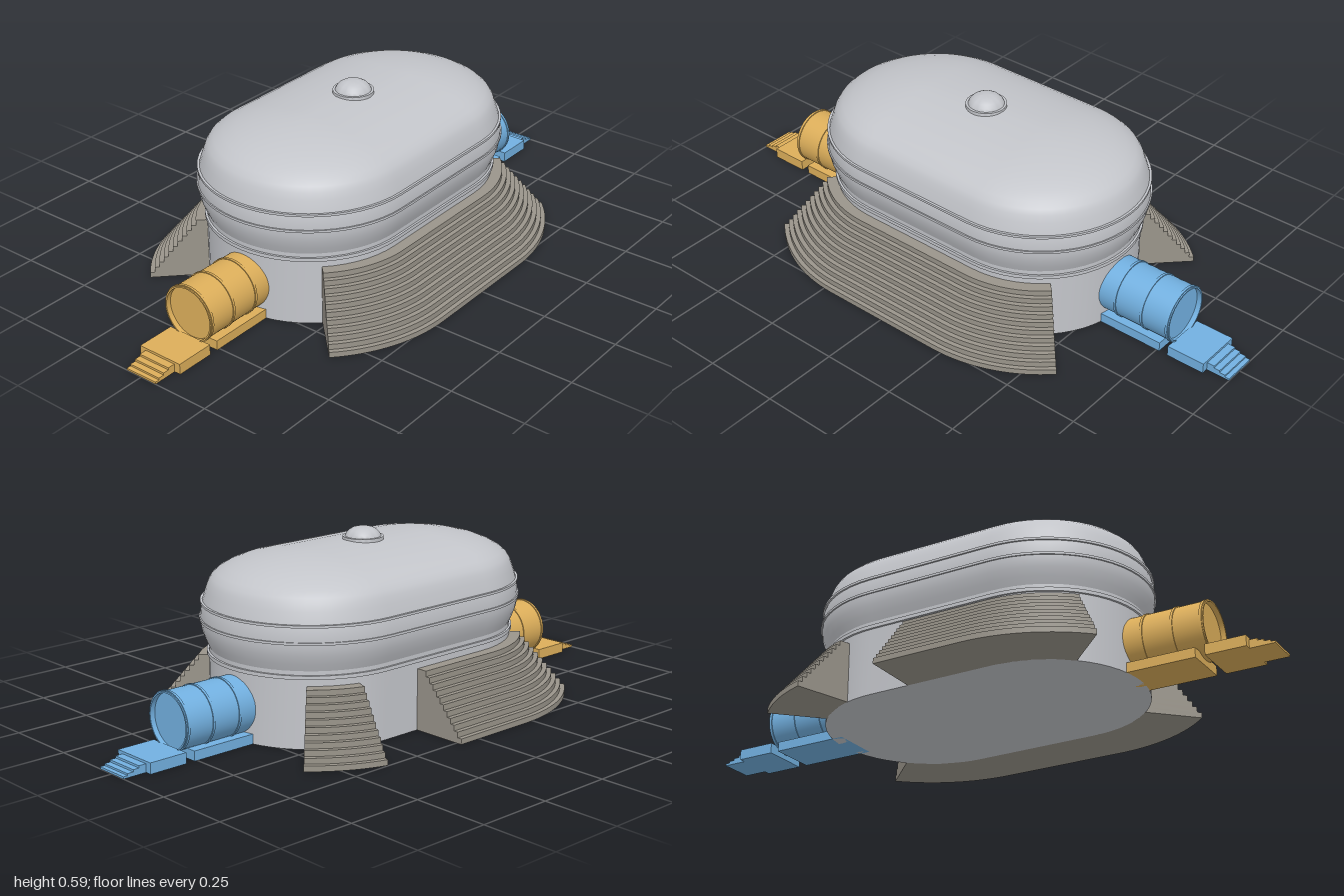
import * as THREE from 'three';
import { toCreasedNormals } from 'three/addons/utils/BufferGeometryUtils.js';

const HALF = 0.217; // half length of the straight part of the oval plan
const rad = THREE.MathUtils.degToRad;

// Sweeps a [radius, y] profile (bottom to top) around the oval plan.
function ovalSweep(profile, segments = 28) {
  const pos = [], index = [], n = 2 * (segments + 1);
  for (const [r, y] of profile) {
    for (const [cx, start] of [[HALF, -Math.PI / 2], [-HALF, Math.PI / 2]]) {
      for (let i = 0; i <= segments; i++) {
        const t = start + (Math.PI * i) / segments;
        pos.push(cx + r * Math.cos(t), y, -r * Math.sin(t));
      }
    }
  }
  for (let j = 0; j < profile.length - 1; j++) {
    for (let i = 0; i < n; i++) {
      const a = j * n + i, b = j * n + ((i + 1) % n);
      index.push(a, b, b + n, a, b + n, a + n);
    }
  }
  const g = new THREE.BufferGeometry();
  g.setAttribute('position', new THREE.Float32BufferAttribute(pos, 3));
  g.setIndex(index);
  return toCreasedNormals(g, 0.5);
}

// Part of the oval plan as frames of [centre x, angle in degrees].
function arc(cx, from, to, steps = 16) {
  return Array.from({ length: steps + 1 }, (_, i) => [cx, from + ((to - from) * i) / steps]);
}

// One flat tread that follows the frames between two radii.
function treadGeometry(frames, inner, outer, y, height) {
  const at = (r) => ([cx, deg]) =>
    new THREE.Vector2(cx + r * Math.cos(rad(deg)), r * Math.sin(rad(deg)));
  const outline = [...frames.map(at(outer)), ...frames.map(at(inner)).reverse()];
  const g = new THREE.ExtrudeGeometry(new THREE.Shape(outline), { depth: height, bevelEnabled: false });
  g.rotateX(-Math.PI / 2).translate(0, y, 0);
  return toCreasedNormals(g, 0.5);
}

export function createModel() {
  const model = new THREE.Group();
  model.name = 'ovalHall';
  const mat = (name, color) => {
    const m = new THREE.MeshStandardMaterial({ color });
    m.name = name;
    return m;
  };
  const grey = mat('pale grey shell', 0xc3c5ca);
  const stone = mat('stone steps', 0x99948a);
  const blue = mat('blue entrance', 0x72b0e0);
  const ochre = mat('ochre entrance', 0xdcae5a);
  const add = (parent, name, geometry, material) => {
    const mesh = new THREE.Mesh(geometry, material);
    mesh.name = name;
    parent.add(mesh);
    return mesh;
  };

  // Main shell: straight wall, bulging drum and domed roof
  add(model, 'wall', ovalSweep([[0, 0], [0.33, 0], [0.33, 0.25]]), grey);
  add(model, 'drumAndRoof', ovalSweep([
    [0.329, 0.245], [0.34, 0.27], [0.35, 0.298], [0.354, 0.32], [0.355, 0.345], [0.352, 0.375],
    [0.346, 0.4], [0.336, 0.43], [0.328, 0.452], [0.318, 0.468], [0.3, 0.484], [0.27, 0.501],
    [0.23, 0.517], [0.18, 0.53], [0.12, 0.541], [0.06, 0.547], [0, 0.55],
  ]), grey);

  // Thin raised bands around the shell
  for (const [r, y, h] of [[0.337, 0.222, 0.012], [0.359, 0.334, 0.008], [0.355, 0.386, 0.008]]) {
    add(model, 'band', ovalSweep([[r - 0.03, y], [r, y], [r, y + h], [r - 0.03, y + h]]), grey);
  }

  // Roof lantern
  const lantern = new THREE.LatheGeometry([
    [0.066, 0.54], [0.066, 0.558], [0.058, 0.558], [0.054, 0.567], [0.045, 0.577],
    [0.033, 0.584], [0.017, 0.588], [0, 0.589],
  ].map(([r, y]) => new THREE.Vector2(r, y)), 40);
  add(model, 'lantern', toCreasedNormals(lantern, 0.6), grey);

  // Stepped terraces: full front, long back left, short back right
  const terraces = {
    frontSteps: [...arc(-HALF, -135, -90), ...arc(HALF, -90, -45)],
    backLongSteps: [...arc(-HALF, 135, 90), [0.08 , 90]],
    backShortSteps: arc(HALF, 73, 45),
  };
  // The long run ends square on the straight part
  const STEPS = 11, RISE = 0.2 / STEPS;
  for (const [name, frames] of Object.entries(terraces)) {
    const group = new THREE.Group();
    group.name = name;
    for (let k = 0; k < STEPS; k++) {
      add(group, 'step', treadGeometry(frames, 0.328, 0.52 - 0.0153 * k, k * RISE, RISE), stone);
    }
    model.add(group);
  }

  // Entrance tunnels with plinth, landing and small stairs
  const tunnelProfile = [
    [0, 0.5], [0.092, 0.5], [0.092, 0.795], [0.087, 0.795], [0.087, 0.778], [0, 0.778],
  ].map(([r, x]) => new THREE.Vector2(r, x));
  const box = (x0, x1, y1, halfZ) =>
    new THREE.BoxGeometry(x1 - x0, y1, 2 * halfZ).translate((x0 + x1) / 2, y1 / 2, 0);
  for (const [name, material, turn] of [['leftEntrance', blue, 0], ['rightEntrance', ochre, Math.PI]]) {
    const entrance = new THREE.Group();
    entrance.name = name;
    const tunnel = new THREE.LatheGeometry(tunnelProfile, 48).rotateZ(-Math.PI / 2).translate(0, 0.112, 0);
    add(entrance, 'tunnel', toCreasedNormals(tunnel, 0.5), material);
    for (const x of [0.594, 0.693, 0.787]) {
      const ring = [[0.088, x - 0.004], [0.095, x - 0.004], [0.095, x + 0.004], [0.088, x + 0.004]]
        .map(([r, y]) => new THREE.Vector2(r, y));
      const g = new THREE.LatheGeometry(ring, 48).rotateZ(-Math.PI / 2).translate(0, 0.112, 0);
      add(entrance, 'tunnelRing', toCreasedNormals(g, 0.5), material);
    }
    add(entrance, 'plinth', box(0.5, 0.76, 0.032, 0.08), material);
    add(entrance, 'landing', box(0.79, 0.92, 0.035, 0.08), material);
    [[0.945, 0.027], [0.965, 0.02], [0.985, 0.013], [1.0, 0.007]].forEach(([x1, y1], i, all) => {
      add(entrance, 'entranceStep', box(i ? all[i - 1][0] : 0.915, x1, y1, 0.058), material);
    });
    entrance.rotation.y = turn;
    model.add(entrance);
  }
  return model;
}
